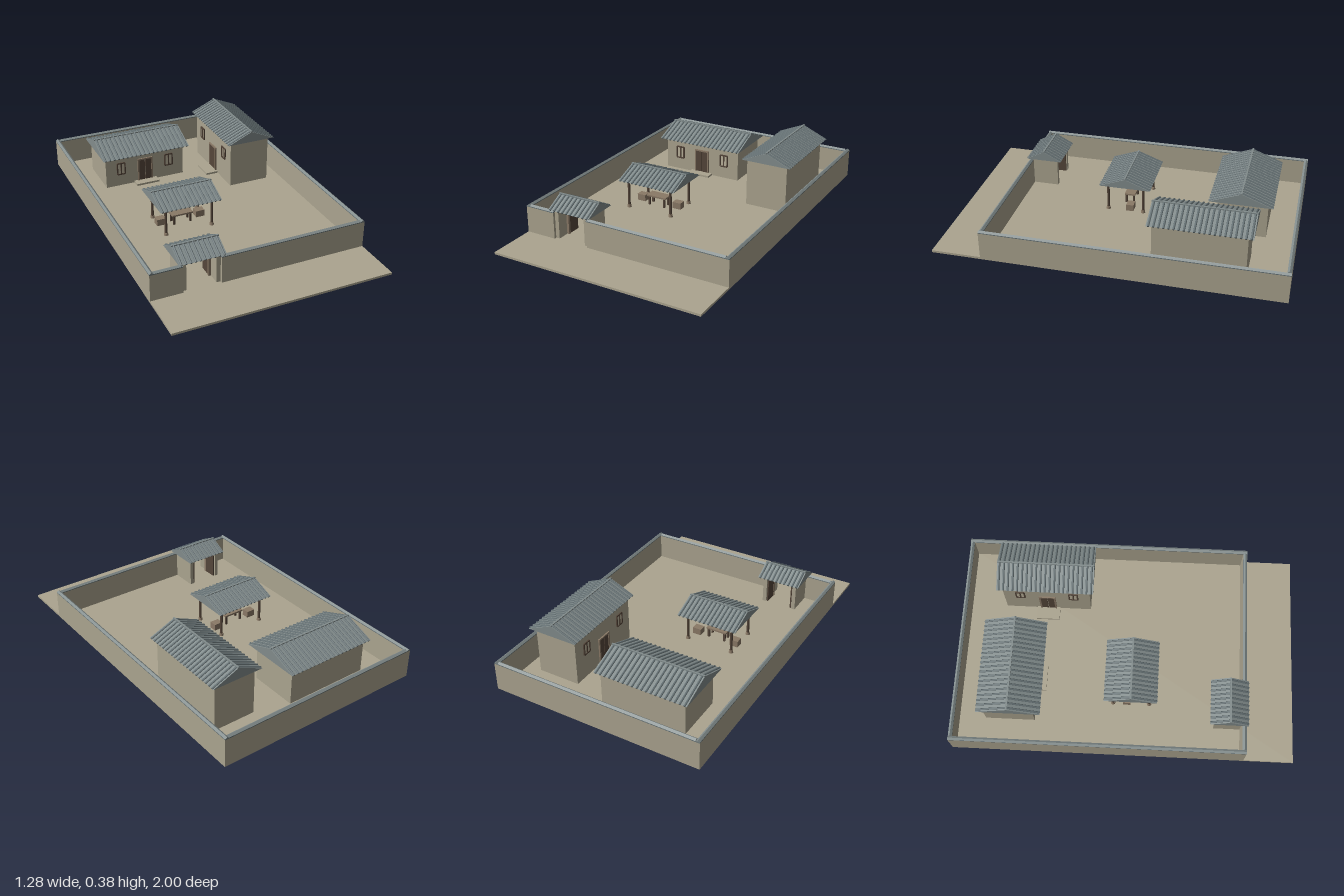
import * as THREE from 'three';
import { mergeGeometries } from 'three/addons/utils/BufferGeometryUtils.js';

const mat = (name, color) => {
  const m = new THREE.MeshStandardMaterial({ color });
  m.name = name;
  return m;
};

export function createModel() {
  const earth = mat('earthPlaster', 0xaba48f);
  const slate = mat('slate', 0x828c8c);
  const tile = mat('darkTile', 0x687477);
  const wood = mat('wood', 0x8a7966);
  const darkWood = mat('darkWood', 0x55463a);
  const paper = mat('windowPaper', 0xbcb39c);

  const model = new THREE.Group();
  model.name = 'walledCourtyard';
  const G = 0.013; // ground surface height

  const group = (name, parent = model) => {
    const g = new THREE.Group();
    g.name = name;
    parent.add(g);
    return g;
  };
  const mesh = (parent, name, geo, material) => {
    const m = new THREE.Mesh(geo, material);
    m.name = name;
    parent.add(m);
    return m;
  };
  // box given by its limits on each axis
  const box = (parent, name, material, x0, x1, y0, y1, z0, z1) => {
    const geo = new THREE.BoxGeometry(x1 - x0, y1 - y0, z1 - z0);
    geo.translate((x0 + x1) / 2, (y0 + y1) / 2, (z0 + z1) / 2);
    return mesh(parent, name, geo, material);
  };
  // triangular prism with its ridge along z, centred
  const prism = (halfWidth, height, length) => {
    const s = new THREE.Shape();
    s.moveTo(-halfWidth, 0);
    s.lineTo(halfWidth, 0);
    s.lineTo(0, height);
    s.closePath();
    return new THREE.ExtrudeGeometry(s, { depth: length, bevelEnabled: false }).translate(0, 0, -length / 2);
  };

  // tiled gable roof: solid prism, rows of rounded tiles, ridge beam
  function roof(parent, x0, x1, z0, z1, eave, ridge, alongX) {
    const g = group('roof', parent);
    const length = alongX ? x1 - x0 : z1 - z0;
    const half = (alongX ? z1 - z0 : x1 - x0) / 2;
    const h = ridge - eave - 0.005;
    mesh(g, 'roofBody', prism(half, h, length), slate);
    const slope = Math.hypot(half, h);
    const count = Math.round(length / 0.028);
    const ribs = [];
    for (let i = 0; i < count; i++) {
      for (const side of [-1, 1]) {
        const rib = new THREE.CylinderGeometry(0.006, 0.006, slope, 6);
        rib.rotateZ(side * Math.atan2(half, h));
        rib.translate(side * half / 2, h / 2, -length / 2 + (i + 0.5) * length / count);
        ribs.push(rib);
      }
    }
    mesh(g, 'tileRows', mergeGeometries(ribs), tile);
    mesh(g, 'ridgeBeam', new THREE.BoxGeometry(0.01, 0.012, length).translate(0, h - 0.001, 0), slate);
    g.position.set((x0 + x1) / 2, eave, (z0 + z1) / 2);
    if (alongX) g.rotation.y = Math.PI / 2;
  }

  // framed window facing +z, origin at its centre on the wall
  function windowUnit(parent, w, h) {
    const g = group('window', parent);
    box(g, 'pane', paper, -w / 2, w / 2, -h / 2, h / 2, 0, 0.003);
    for (const s of [-1, 0, 1]) {
      const x = s * w / 2;
      box(g, 'upright', darkWood, x - 0.004, x + 0.004, -h / 2, h / 2, 0, 0.007);
      if (s) box(g, 'rail', darkWood, -w / 2, w / 2, s * h / 2 - 0.004, s * h / 2 + 0.004, 0, 0.007);
    }
    return g;
  }

  // two-leaf door facing +z, origin at the sill centre
  function doorUnit(parent, w, h) {
    const g = group('door', parent);
    for (const s of [-1, 1]) {
      const x = s * w / 4;
      box(g, 'doorLeaf', darkWood, x - w / 4 + 0.002, x + w / 4 - 0.002, 0, h, 0, 0.005);
      box(g, 'doorPost', wood, s * w / 2 - 0.005, s * w / 2 + 0.005, 0, h, 0, 0.009);
    }
    box(g, 'doorHead', wood, -w / 2 - 0.005, w / 2 + 0.005, h, h + 0.009, 0, 0.009);
    return g;
  }

  // ground slab
  box(model, 'ground', earth, -0.64, 0.64, 0, G, -1, 1);

  // perimeter walls with gabled tile caps
  const walls = group('perimeterWall');
  const T = 0.024, top = 0.17;
  const wall = (x0, x1, z0, z1) => {
    box(walls, 'wall', earth, x0, x1, G, top, z0, z1);
    const alongX = x1 - x0 > z1 - z0;
    box(walls, 'capBase', tile, x0, x1, top, top + 0.005, z0, z1);
    const cap = mesh(walls, 'wallCap', prism(T / 2, 0.009, alongX ? x1 - x0 : z1 - z0), slate);
    cap.position.set((x0 + x1) / 2, top + 0.005, (z0 + z1) / 2);
    if (alongX) cap.rotation.y = Math.PI / 2;
  };
  wall(-0.64, -0.64 + T, -1, 0.71);
  wall(0.64 - T, 0.64, -1, 0.71);
  wall(-0.64 + T, 0.64 - T, -1, -1 + T);
  wall(-0.64 + T, -0.455, 0.71 - T, 0.71);
  wall(-0.235, 0.64 - T, 0.71 - T, 0.71);

  // gatehouse with open door leaves
  const gate = group('gatehouse');
  for (const s of [-1, 1]) {
    const x = -0.345 + s * 0.098;
    box(gate, 'gatePier', earth, x - 0.012, x + 0.012, G, 0.192, 0.53, 0.695);
    const d = -0.345 + s * 0.079;
    box(gate, 'gateLeaf', darkWood, d - 0.004, d + 0.004, G, 0.162, 0.535, 0.61);
    box(gate, 'gatePost', wood, d - 0.007, d + 0.007, G, 0.165, 0.61, 0.625);
  }
  box(gate, 'gateLintel', wood, -0.431, -0.259, 0.163, 0.192, 0.6, 0.635);
  roof(gate, -0.48, -0.21, 0.5, 0.72, 0.19, 0.252, true);

  // open pavilion with table and stools
  const pavilion = group('pavilion');
  for (const x of [-0.324, -0.036]) {
    for (const z of [-0.07, 0.145]) {
      mesh(pavilion, 'post', new THREE.CylinderGeometry(0.008, 0.008, 0.185, 10).translate(x, 0.105, z), darkWood);
      mesh(pavilion, 'postBase', new THREE.CylinderGeometry(0.011, 0.014, 0.016, 10).translate(x, G + 0.008, z), wood);
    }
    box(pavilion, 'sideBeam', darkWood, x - 0.006, x + 0.006, 0.18, 0.191, -0.07, 0.145);
  }
  for (const z of [-0.07, 0.145]) {
    box(pavilion, 'longBeam', darkWood, -0.324, -0.036, 0.18, 0.191, z - 0.006, z + 0.006);
  }
  roof(pavilion, -0.37, 0.01, -0.12, 0.19, 0.19, 0.253, true);
  box(pavilion, 'tableTop', wood, -0.25, -0.12, 0.068, 0.078, 0, 0.065);
  for (const x of [-0.237, -0.133]) {
    for (const z of [0.01, 0.055]) {
      box(pavilion, 'tableLeg', darkWood, x - 0.006, x + 0.006, G, 0.068, z - 0.006, z + 0.006);
    }
  }
  for (const x of [-0.308, -0.06]) {
    box(pavilion, 'stool', wood, x - 0.027, x + 0.027, G, 0.053, -0.01, 0.035);
  }

  // main hall
  const hall = group('mainHall');
  box(hall, 'hallBody', earth, -0.455, 0.065, G, 0.226, -0.82, -0.53);
  roof(hall, -0.48, 0.09, -0.85, -0.48, 0.222, 0.297, true);
  doorUnit(hall, 0.09, 0.14).position.set(-0.195, G + 0.012, -0.53);
  for (const s of [-1, 1]) windowUnit(hall, 0.05, 0.075).position.set(-0.195 + s * 0.16, 0.13, -0.53);
  box(hall, 'hallStep', earth, -0.27, -0.12, G, G + 0.012, -0.53, -0.475);

  // tall side house
  const side = group('sideHouse');
  box(side, 'sideBody', earth, 0.27, 0.527, G, 0.309, -0.76, -0.24);
  roof(side, 0.245, 0.555, -0.79, -0.215, 0.305, 0.377, false);
  const front = group('sideHouseFront', side);
  front.position.set(0.27, 0, -0.5);
  front.rotation.y = -Math.PI / 2;
  doorUnit(front, 0.09, 0.15).position.set(0, G + 0.012, 0);
  for (const s of [-1, 1]) windowUnit(front, 0.05, 0.07).position.set(s * 0.16, 0.2, 0);
  box(side, 'sideStep', earth, 0.19, 0.27, G, G + 0.012, -0.57, -0.43);

  return model;
}
